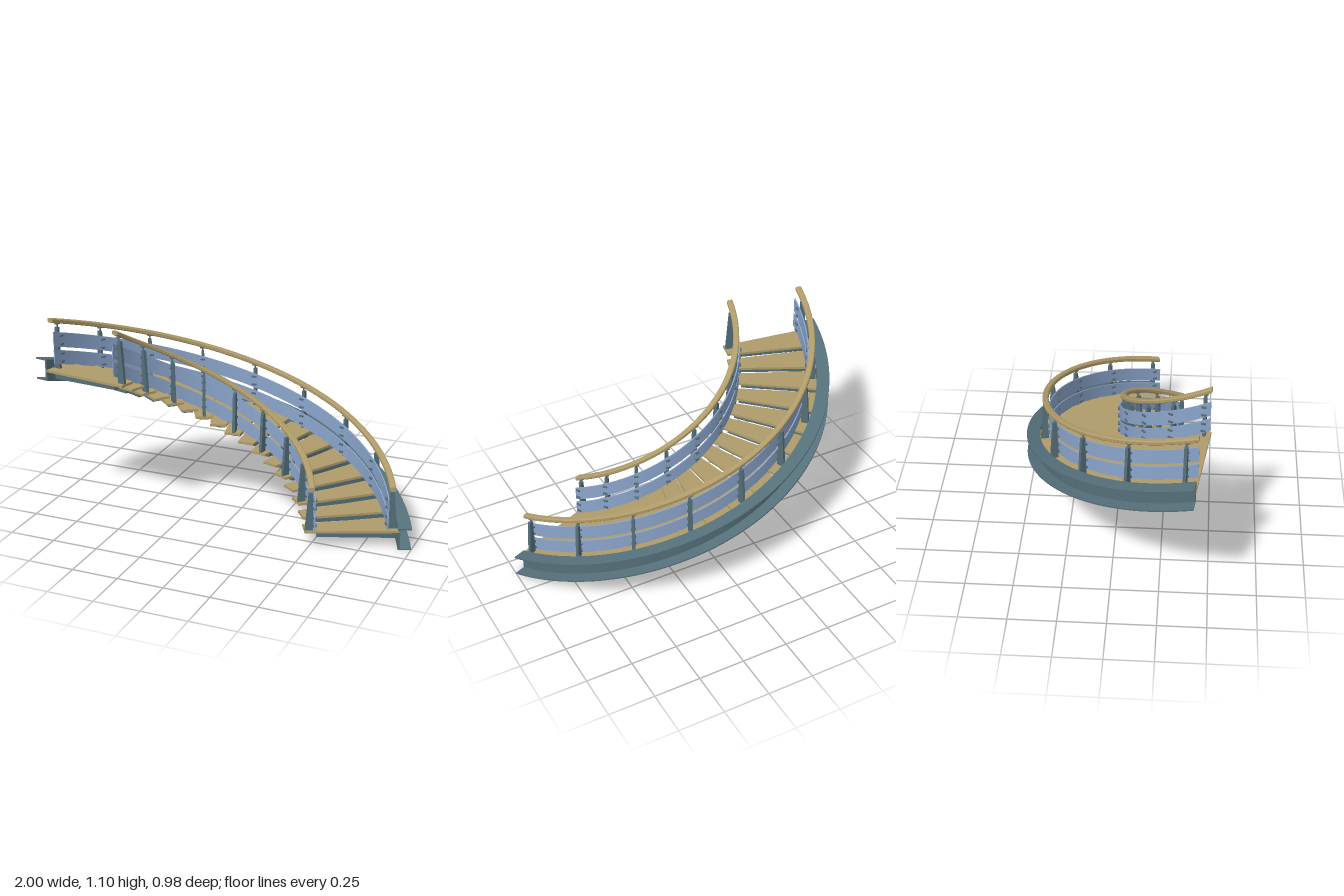
import * as THREE from 'three';
import { toCreasedNormals } from 'three/addons/utils/BufferGeometryUtils.js';

const RAD = Math.PI / 180;
const START = 23.3, END = 172, RISE = 0.748;   // stair sweep in degrees and total climb
const TREADS = 17, TREAD_WIDTH = 10, POSTS = 9;
const TREAD_STEP = (END - START - TREAD_WIDTH) / (TREADS - 1);
const TREAD_RISE = 0.0437;

const steel = new THREE.MeshStandardMaterial({ color: 0x55707a });
const wood = new THREE.MeshStandardMaterial({ color: 0xb09c6a });
const glass = new THREE.MeshStandardMaterial({ color: 0x8ba5cb });

const climb = (deg) => RISE * (deg - START) / (END - START);
const treadTop = (i) => 0.11 + TREAD_RISE * i;

const shapeOf = (points) => new THREE.Shape(points.map(([r, y]) => new THREE.Vector2(r, y)));
const rect = (r0, r1, y0, y1) => [[r0, y0], [r1, y0], [r1, y1], [r0, y1]];

// Sweep a (radius, height) profile around the stair axis, climbing with the angle if asked
function sweep(name, points, material, a0, a1, steps, climbing = true) {
  const geo = new THREE.ExtrudeGeometry(shapeOf(points), { depth: 1, steps, bevelEnabled: false });
  const p = geo.attributes.position;
  for (let i = 0; i < p.count; i++) {
    const deg = a0 + (a1 - a0) * (1 - p.getZ(i));
    const r = p.getX(i);
    const y = p.getY(i) + (climbing ? climb(deg) : 0);
    p.setXYZ(i, r * Math.cos(deg * RAD), y, -r * Math.sin(deg * RAD));
  }
  const mesh = new THREE.Mesh(toCreasedNormals(geo, 30 * RAD), material);
  mesh.name = name;
  return mesh;
}

// Upright radial plate cut from a (radius, height) outline
function plate(name, points, thickness, material) {
  const geo = new THREE.ExtrudeGeometry(shapeOf(points), { depth: thickness, bevelEnabled: false });
  geo.translate(0, 0, -thickness / 2);
  const mesh = new THREE.Mesh(geo, material);
  mesh.name = name;
  return mesh;
}

// Group turned so that its local x points outward at the given angle
function radialGroup(name, deg) {
  const g = new THREE.Group();
  g.name = name;
  g.rotation.y = deg * RAD;
  return g;
}

// Post with a tapered back; dir = +1 leans outward, -1 inward
function makePost(name, deg, glassR, railR, dir) {
  const g = radialGroup(name, deg);
  const i = Math.min(TREADS - 1, Math.floor((deg - START) / TREAD_STEP));
  const h = climb(deg), base = treadTop(i), face = glassR + dir * 0.008;
  g.add(plate('postPlate', [
    [face, base], [face + dir * 0.042, base],
    [face + dir * 0.024, h + 0.305], [face + dir * 0.004, h + 0.305],
  ], 0.016, steel));

  // Pin and saddle carrying the handrail
  const pin = new THREE.Mesh(new THREE.CylinderGeometry(0.004, 0.004, 0.03, 8), steel);
  pin.name = 'railPin';
  pin.position.set(railR, h + 0.316, 0);
  const saddle = new THREE.Mesh(new THREE.BoxGeometry(0.02, 0.004, 0.03), steel);
  saddle.name = 'railSaddle';
  saddle.position.set(railR, h + 0.325, 0);
  g.add(pin, saddle);

  // Clamps gripping each glass band
  for (const y of [0.122, 0.165, 0.217, 0.263]) {
    const clamp = new THREE.Mesh(new THREE.BoxGeometry(0.022, 0.009, 0.024), steel);
    clamp.name = 'glassClamp';
    clamp.position.set(glassR, h + y, 0);
    g.add(clamp);
  }
  return g;
}

function makeBalustrade(name, glassR, railR, dir) {
  const g = new THREE.Group();
  g.name = name;
  // Handrail with softened corners
  const w = 0.016, c = 0.005, y0 = 0.327, y1 = 0.352;
  g.add(sweep('handrail', [
    [railR - w + c, y0], [railR + w - c, y0], [railR + w, y0 + c], [railR + w, y1 - c],
    [railR + w - c, y1], [railR - w + c, y1], [railR - w, y1 - c], [railR - w, y0 + c],
  ], wood, START, END, 72));
  // Two glass bands
  for (const [lo, hi] of [[0.105, 0.182], [0.2, 0.28]])
    g.add(sweep('glassBand', rect(glassR - 0.003, glassR + 0.003, lo, hi), glass, START, END, 72));
  for (let i = 0; i < POSTS; i++)
    g.add(makePost('post', 25.5 + i * 143 / (POSTS - 1), glassR, railR, dir));
  return g;
}

function makeTread(i) {
  const a = START + i * TREAD_STEP, top = treadTop(i), mid = a + 4.8;
  const g = new THREE.Group();
  g.name = 'step';
  g.add(sweep('tread', rect(0.5, 0.985, top - 0.013, top), wood, a, a + TREAD_WIDTH, 4, false));

  // Tapered cantilever arm below the tread
  const under = top - 0.013;
  const arm = radialGroup('stepSupport', mid);
  arm.add(plate('supportArm', [
    [0.565, under], [0.565, under - 0.03], [0.982, under - 0.055], [0.982, under],
  ], 0.05, steel));

  // Four bolts through the stringer
  for (const dy of [-0.012, 0.012]) for (const dz of [-0.012, 0.012]) {
    const bolt = new THREE.Mesh(new THREE.CylinderGeometry(0.004, 0.004, 0.006, 8), steel);
    bolt.name = 'bolt';
    bolt.rotation.z = Math.PI / 2;
    bolt.position.set(0.993, climb(mid) + 0.052 + dy, dz);
    arm.add(bolt);
  }
  g.add(arm);
  return g;
}

export function createModel() {
  const model = new THREE.Group();
  model.name = 'curvedStaircase';
  const stair = new THREE.Group();
  stair.name = 'stair';
  stair.position.set(0.037, 0, 0.557);
  model.add(stair);

  // Outer channel stringer with outward flanges
  stair.add(sweep('stringer', [
    [0.98, 0], [1.05, 0], [1.05, 0.008], [0.991, 0.008],
    [0.991, 0.112], [1.05, 0.112], [1.05, 0.12], [0.98, 0.12],
  ], steel, START, END, 72));

  for (let i = 0; i < TREADS; i++) stair.add(makeTread(i));

  stair.add(makeBalustrade('outerBalustrade', 0.926, 0.944, 1));
  stair.add(makeBalustrade('innerBalustrade', 0.552, 0.534, -1));
  return model;
}
